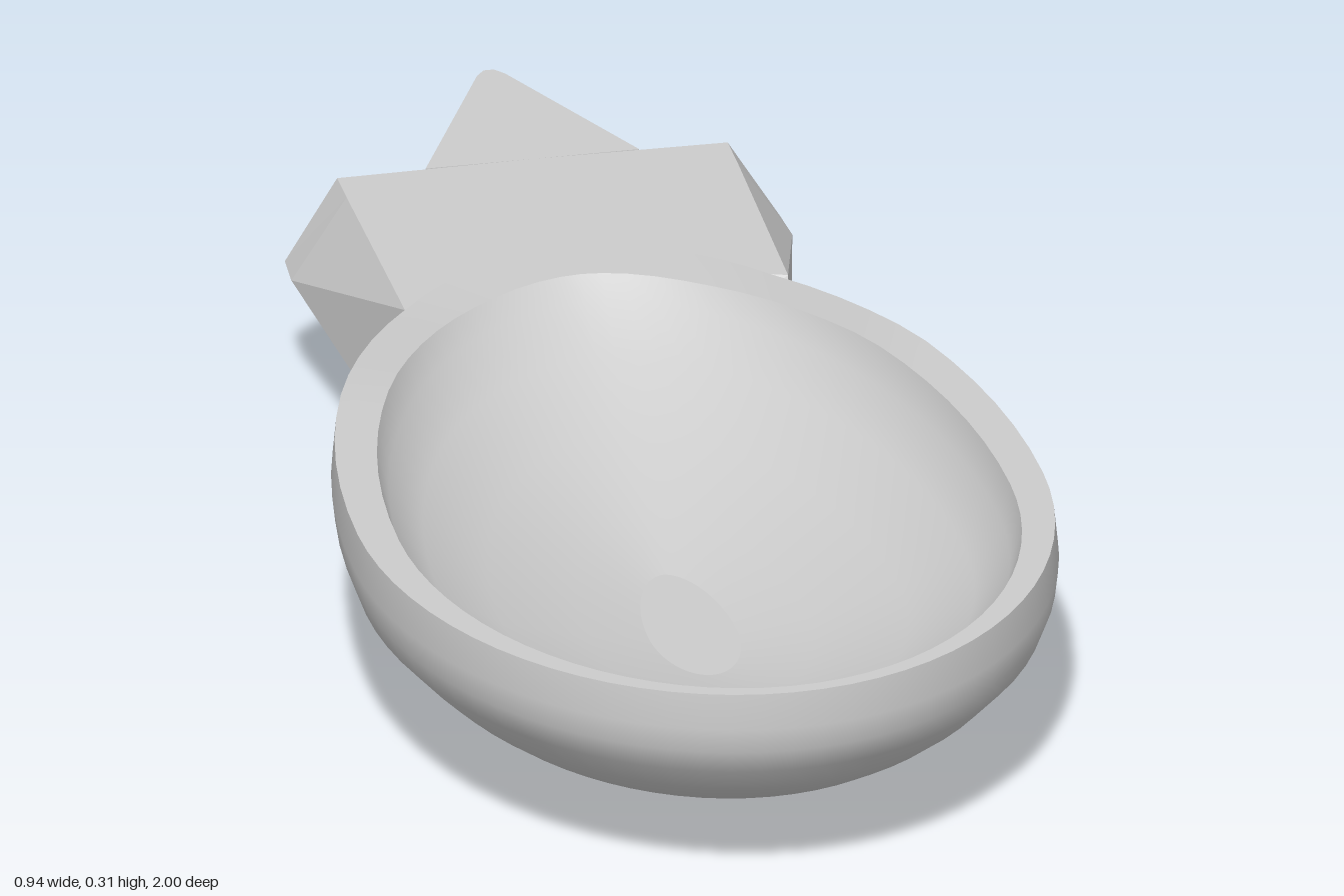
import * as THREE from 'three';

const STEPS = 72;

// Egg-shaped ring: front z, back z, half width, height; the rim dips slightly towards the handle
function eggRing([front, back, w, y]) {
  const c = back + 0.59 * (front - back);
  return Array.from({ length: STEPS }, (_, j) => {
    const t = (j / STEPS) * Math.PI * 2, s = Math.sin(t), k = Math.cos(t);
    const x = w * Math.sign(s) * Math.pow(Math.abs(s), k > 0 ? 1 : 1.1);
    const z = c + k * (k > 0 ? front - c : c - back);
    const rim = 0.315 - 0.018 * THREE.MathUtils.clamp((-0.05 - z) / 0.25, 0, 1);
    return [x, Math.min(y, rim), z];
  });
}

// Full closed section from the +x half, listed top centre to bottom centre
function mirrored(half) {
  const other = half.slice(1, -1).reverse().map(([x, y, z]) => [-x, y, z]);
  return [...half, ...other];
}

// Skin neighbouring rings; capped lofts are faceted and flip the diagonal on the mirrored half
function loft(rings, caps = false) {
  const n = rings[0].length, pos = rings.flat(), idx = [];
  for (let r = 0; r < rings.length - 1; r++) {
    for (let i = 0; i < n; i++) {
      const j = (i + 1) % n;
      const a = r * n + i, b = r * n + j, c = a + n, d = b + n;
      if (caps) {
        if (i < n / 2) idx.push(a, b, d, a, d, c);
        else idx.push(a, b, c, b, d, c);
      } else idx.push(a, c, d, a, d, b);
    }
  }
  if (caps) {
    [0, rings.length - 1].forEach((r) => {
      const mid = [0, 1, 2].map((k) => rings[r].reduce((s, p) => s + p[k], 0) / n);
      const m = pos.push(mid) - 1;
      for (let i = 0; i < n; i++) {
        const a = r * n + i, b = r * n + (i + 1) % n;
        idx.push(m, ...(r === 0 ? [b, a] : [a, b]));
      }
    });
  }
  let g = new THREE.BufferGeometry();
  g.setAttribute('position', new THREE.Float32BufferAttribute(pos.flat(), 3));
  g.setIndex(idx);
  if (caps) g = g.toNonIndexed();
  g.computeVertexNormals();
  return g;
}

export function createModel() {
  const model = new THREE.Group();
  model.name = 'spoonRest';
  const grey = new THREE.MeshStandardMaterial({ color: 0xcccccc });
  grey.name = 'grey';
  const add = (name, geometry, x = 0) => {
    const mesh = new THREE.Mesh(geometry, grey);
    mesh.name = name;
    mesh.position.x = x;
    model.add(mesh);
  };

  // Outer wall, rim to foot
  const outer = [
    [0.995, -0.455, 0.465, 0.315], [1, -0.46, 0.47, 0.265], [0.996, -0.455, 0.466, 0.23],
    [0.982, -0.44, 0.453, 0.195], [0.94, -0.39, 0.412, 0.15], [0.9, -0.35, 0.385, 0.122],
    [0.855, -0.31, 0.355, 0.096], [0.745, -0.24, 0.3, 0.053], [0.64, -0.2, 0.24, 0.021],
    [0.48, -0.17, 0.17, 0],
  ];
  // Inner hollow, floor to rim
  const inner = [
    [0.48, 0.165, 0.06, 0.1], [0.62, 0.03, 0.15, 0.123], [0.78, -0.13, 0.27, 0.168],
    [0.89, -0.26, 0.355, 0.222], [0.95, -0.33, 0.4, 0.27], [0.975, -0.36, 0.415, 0.315],
  ];
  add('bowlOuterWall', loft(outer.map(eggRing)));
  add('bowlInnerWall', loft(inner.map(eggRing)));
  add('bowlRim', loft([inner[5], outer[0]].map(eggRing)));
  add('bowlFloor', loft([[0.33, 0.33, 0, 0.1], inner[0]].map(eggRing)));
  add('bowlFoot', loft([outer[9], [0.2, 0.2, 0, 0]].map(eggRing)));

  // Handle block flaring into two side points
  add('handle', loft([
    [[0, 0.297, -0.39], [0.26, 0.292, -0.31], [0.238, 0.06, -0.185], [0.15, 0.035, -0.18], [0, 0.03, -0.18]],
    [[0, 0.297, -0.66], [0.265, 0.295, -0.66], [0.34, 0.18, -0.66], [0.25, 0.135, -0.66], [0, 0.13, -0.66]],
    [[0, 0.297, -0.72], [0.265, 0.295, -0.72], [0.336, 0.18, -0.72], [0.28, 0.147, -0.72], [0, 0.143, -0.72]],
  ].map(mirrored), true), 0.01);

  // Rear point of the star, with a blunted tip
  const slice = (z, w, low) => mirrored([[0, 0.297, z], [w, 0.297, z], [w, low, z], [0, low, z]]);
  add('handleTip', loft([
    slice(-0.72, 0.145, 0.144), slice(-0.985, 0.019, 0.197), slice(-1, 0.007, 0.2),
  ], true), 0.01);

  return model;
}
